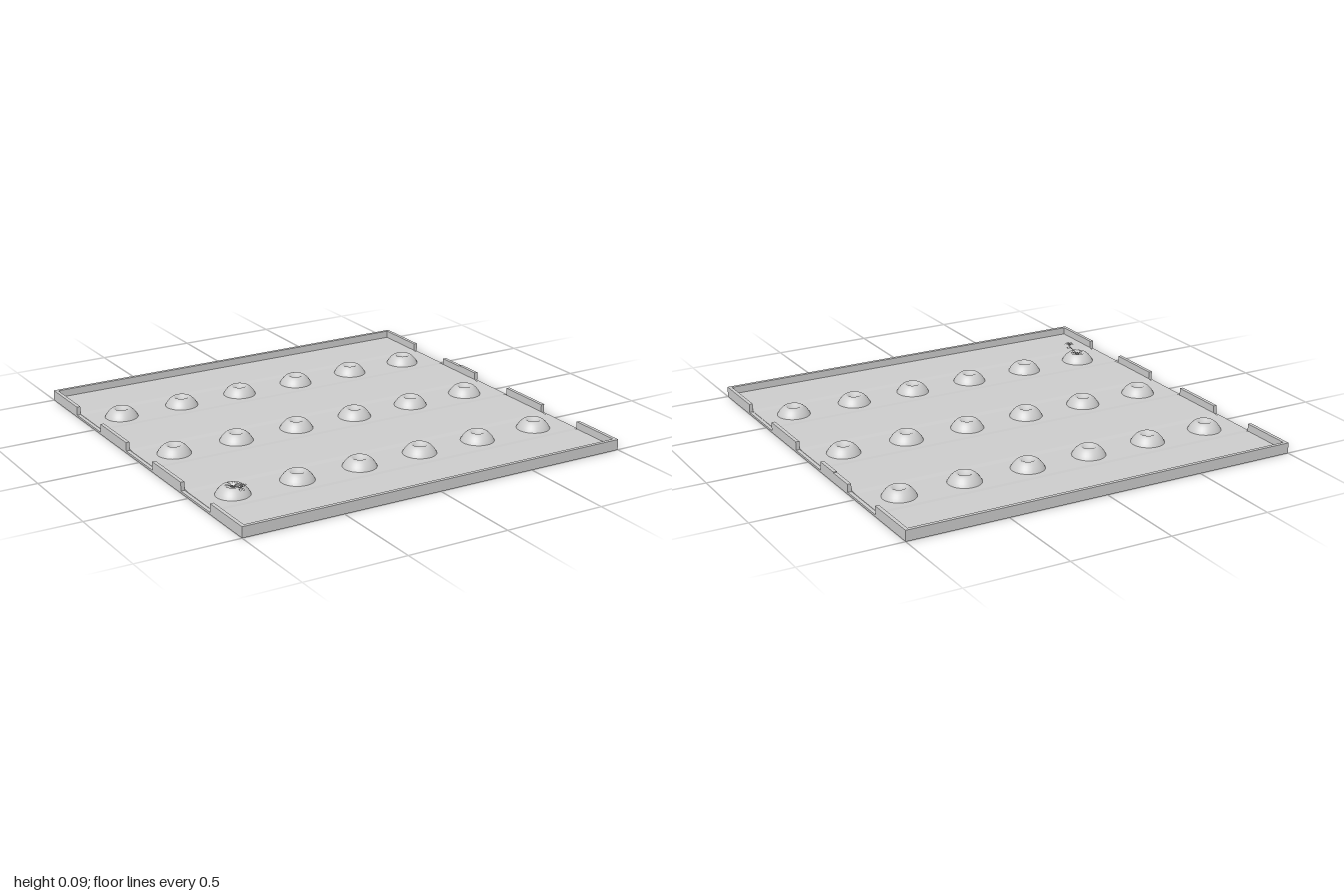
import * as THREE from 'three';

const ROWS = [-0.58, 0, 0.58];
const COLS = [-0.82, -0.492, -0.164, 0.164, 0.492, 0.82];
const WALL_H = 0.052, WALL_T = 0.018, FLOOR = 0.01, PATH = 0.016;

export function createModel() {
  const group = new THREE.Group();
  const mat = new THREE.MeshStandardMaterial({ color: 0xcccccc });
  const leafMat = new THREE.MeshStandardMaterial({ color: 0xcccccc, side: THREE.DoubleSide });

  const add = (name, geometry, x = 0, y = 0, z = 0, material = mat, parent = group) => {
    const mesh = new THREE.Mesh(geometry, material);
    mesh.name = name;
    mesh.position.set(x, y, z);
    parent.add(mesh);
    return mesh;
  };
  const box = (name, x0, x1, y0, y1, z0, z1) =>
    add(name, new THREE.BoxGeometry(x1 - x0, y1 - y0, z1 - z0), (x0 + x1) / 2, (y0 + y1) / 2, (z0 + z1) / 2);

  // Tray floor
  box('base', -1, 1, 0, FLOOR, -1, 1);

  // Soil with a shallow sloped furrow along each row
  const inner = 1 - WALL_T;
  const profile = new THREE.Shape();
  profile.moveTo(-inner, 0.002);
  profile.lineTo(inner, 0.002);
  profile.lineTo(inner, PATH);
  for (const z of [...ROWS].reverse()) {
    profile.lineTo(z + 0.14, PATH);
    profile.lineTo(z + 0.11, FLOOR + 0.002);
    profile.lineTo(z - 0.11, FLOOR + 0.002);
    profile.lineTo(z - 0.14, PATH);
  }
  profile.lineTo(-inner, PATH);
  profile.closePath();
  const soil = new THREE.ExtrudeGeometry(profile, { depth: 2 * inner, bevelEnabled: false });
  soil.translate(0, 0, -inner).rotateY(Math.PI / 2);
  add('soil', soil);

  // Front and back walls
  box('frontWall', -1, 1, 0, WALL_H, inner, 1);
  box('backWall', -1, 1, 0, WALL_H, -1, -inner);

  // Side walls, broken where the furrows run out
  const spans = [[-inner, -0.71], [-0.43, -0.14], [0.14, 0.43], [0.71, inner]];
  for (const side of [-1, 1]) {
    const x0 = side < 0 ? -1 : inner;
    for (const [z0, z1] of spans) {
      if (side > 0 && z0 === -0.43) {
        // This section is slightly lower towards the back
        box('sideWall', x0, x0 + WALL_T, 0, 0.048, z0, -0.28);
        box('sideWall', x0, x0 + WALL_T, 0, WALL_H, -0.28, z1);
      } else {
        box('sideWall', x0, x0 + WALL_T, 0, WALL_H, z0, z1);
      }
    }
  }

  // Planting mounds with a dimple on top, profile from the foot up to the axis
  const moundProfile = [
    [0.083, 0.008], [0.079, 0.017], [0.072, 0.029], [0.062, 0.041], [0.052, 0.05],
    [0.045, 0.0545], [0.038, 0.0555], [0.031, 0.052], [0.022, 0.045], [0.011, 0.041], [0, 0.04],
  ].map(([r, y]) => new THREE.Vector2(r, y));
  const mound = new THREE.LatheGeometry(moundProfile, 32);
  for (const z of ROWS) for (const x of COLS) add('mound', mound, x, 0, z);

  // Seedling: a rosette of leaves, a leaning stem and a small tuft
  const plant = new THREE.Group();
  plant.name = 'seedling';
  plant.position.set(COLS[0], 0.04, ROWS[2]);
  group.add(plant);

  // A pointed leaf along +z, arched and folded along its middle
  const leafGeometry = (length, width, rise) => {
    const g = new THREE.PlaneGeometry(1, 1, 2, 5);
    const p = g.attributes.position;
    for (let i = 0; i < p.count; i++) {
      const t = p.getY(i) + 0.5, s = p.getX(i) * 2;
      const w = width * Math.pow(Math.sin(Math.PI * t), 0.8) / 2;
      p.setXYZ(i, s * w, rise * Math.sin(t * 2) + Math.abs(s) * w * 0.4, length * t);
    }
    g.computeVertexNormals();
    return g;
  };
  const rosette = (name, count, geometry, x, y, z, turn = 0) => {
    for (let i = 0; i < count; i++) {
      add(name, geometry, x, y, z, leafMat, plant).rotation.y = turn + (i / count) * Math.PI * 2;
    }
  };
  rosette('leaf', 4, leafGeometry(0.042, 0.02, 0.018), 0, 0, 0);
  rosette('innerLeaf', 4, leafGeometry(0.03, 0.012, 0.022), 0, 0, 0, Math.PI / 4);

  const stemPath = new THREE.CatmullRomCurve3([
    new THREE.Vector3(0, 0, 0), new THREE.Vector3(0.002, 0.017, 0.03),
    new THREE.Vector3(0.004, 0.022, 0.06), new THREE.Vector3(0.004, 0.03, 0.08),
  ]);
  add('stem', new THREE.TubeGeometry(stemPath, 10, 0.002, 6), 0, 0, 0, mat, plant);
  rosette('tuftLeaf', 5, leafGeometry(0.026, 0.013, 0.012), 0.004, 0.029, 0.077);
  rosette('tuftUpperLeaf', 4, leafGeometry(0.014, 0.012, 0.016), 0.004, 0.029, 0.077, 0.3);
  rosette('tuftLowerLeaf', 4, leafGeometry(0.018, 0.012, -0.012), 0.004, 0.028, 0.077, 0.6);
  add('bud', new THREE.SphereGeometry(0.006, 8, 6), 0.004, 0.036, 0.077, mat, plant);

  return group;
}
